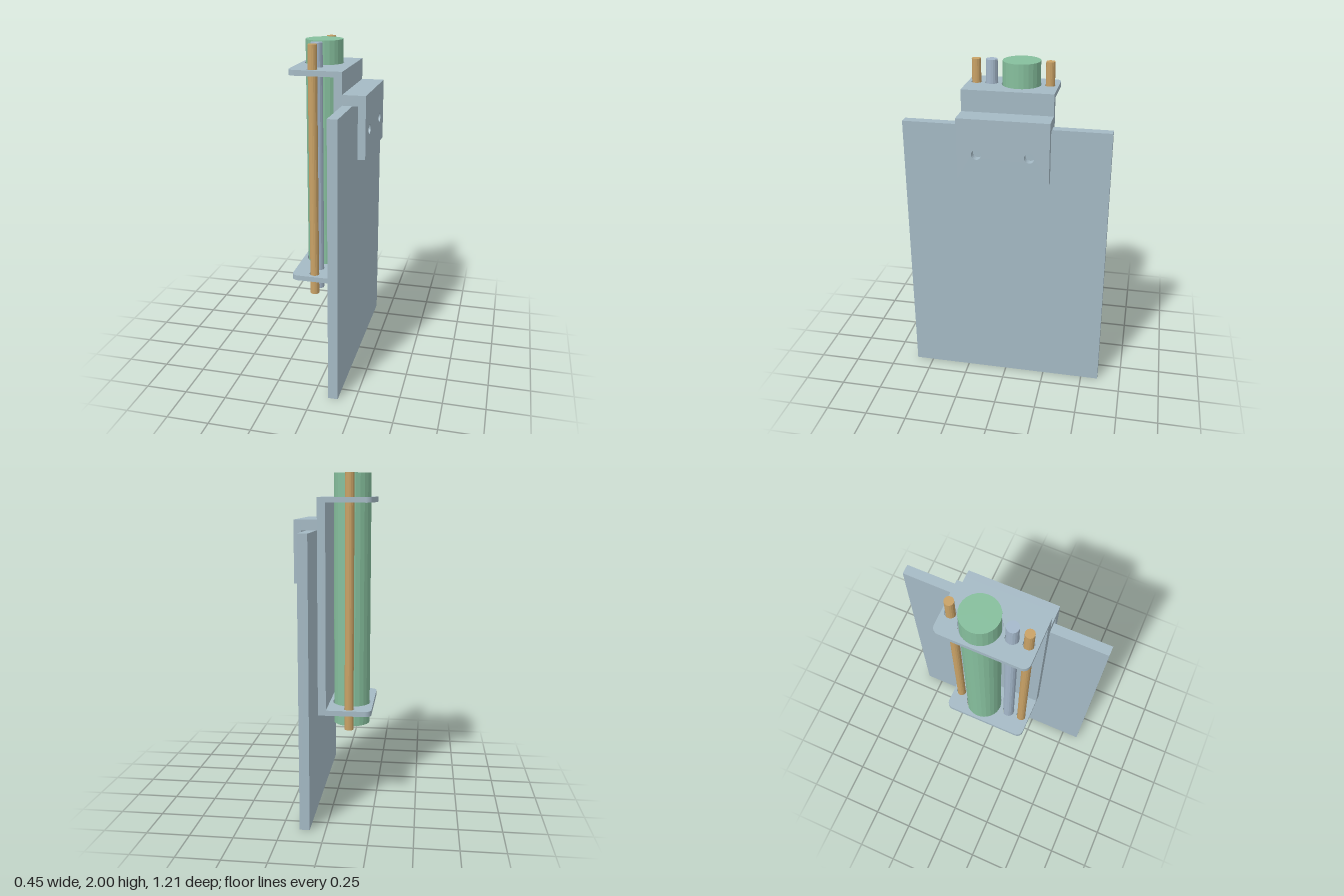
import * as THREE from 'three';

export function createModel() {
  const model = new THREE.Group();
  const mat = (name, color) => {
    const m = new THREE.MeshStandardMaterial({ color });
    m.name = name;
    return m;
  };
  const steel = mat('blue grey steel', 0xa5bac5);
  const paleRod = mat('pale blue rod', 0xa5b8cb);
  const green = mat('green', 0x86bf9d);
  const brass = mat('brass', 0xc9a266);

  const add = (parent, name, geometry, material) => {
    const mesh = new THREE.Mesh(geometry, material);
    mesh.name = name;
    parent.add(mesh);
    return mesh;
  };
  // Box given by its limits on each axis
  const box = (x0, x1, y0, y1, z0, z1) =>
    new THREE.BoxGeometry(x1 - x0, y1 - y0, z1 - z0)
      .translate((x0 + x1) / 2, (y0 + y1) / 2, (z0 + z1) / 2);
  const addHole = (shape, x, y, r) => {
    const hole = new THREE.Path();
    hole.absarc(x, y, r, 0, Math.PI * 2, true);
    shape.holes.push(hole);
  };

  // Backing board
  add(model, 'board', box(0.09, 0.148, 0, 1.675, -0.607, 0.607), steel);

  // Rods: position along z, radius, hole radius
  const rodX = -0.093, rodBottom = 0.48, rodTop = 2;
  const rods = [
    { name: 'mainCylinder', z: -0.052, r: 0.111, hole: 0.117, material: green, sides: 24 },
    { name: 'paleRod', z: 0.125, r: 0.035, hole: 0.039, material: paleRod, sides: 16 },
    { name: 'backBrassRod', z: -0.219, r: 0.027, hole: 0.032, material: brass, sides: 16 },
    { name: 'frontBrassRod', z: 0.216, r: 0.027, hole: 0.032, material: brass, sides: 16 },
  ];
  for (const { name, z, r, material, sides } of rods) {
    const g = new THREE.CylinderGeometry(r, r, rodTop - rodBottom, sides).toNonIndexed();
    g.computeVertexNormals(); // faceted sides
    g.translate(rodX, (rodTop + rodBottom) / 2, z);
    add(model, name, g, material);
  }

  // Hanging bracket
  const bracket = new THREE.Group();
  bracket.name = 'bracket';
  model.add(bracket);
  const half = 0.268;
  add(bracket, 'spine', box(0.042, 0.09, 0.575, 1.862, -half, half), steel);
  add(bracket, 'hookTop', box(0.09, 0.18, 1.675, 1.735, -half, half), steel);

  // Two shelves with rounded outer corners and clearance holes for the rods
  const x0 = -0.228, x1 = 0.042, c = 0.04;
  const shelf = new THREE.Shape();
  shelf.moveTo(x1, -half);
  shelf.lineTo(x1, half);
  shelf.lineTo(x0 + c, half);
  shelf.absarc(x0 + c, half - c, c, Math.PI / 2, Math.PI, false);
  shelf.lineTo(x0, -half + c);
  shelf.absarc(x0 + c, -half + c, c, Math.PI, Math.PI * 1.5, false);
  shelf.closePath();
  for (const rod of rods) addHole(shelf, rodX, rod.z, rod.hole);
  const shelfGeometry = new THREE.ExtrudeGeometry(shelf, { depth: 0.032, bevelEnabled: false, curveSegments: 16 })
    .rotateX(Math.PI / 2);
  add(bracket, 'topShelf', shelfGeometry, steel).position.y = 1.862;
  add(bracket, 'bottomShelf', shelfGeometry, steel).position.y = 0.607;

  // Hook lip with two screw holes
  const lip = new THREE.Shape();
  lip.moveTo(-half, 1.37);
  lip.lineTo(half, 1.37);
  lip.lineTo(half, 1.735);
  lip.lineTo(-half, 1.735);
  lip.closePath();
  for (const side of [-1, 1]) addHole(lip, side * 0.153, 1.525, 0.029);
  const lipGeometry = new THREE.ExtrudeGeometry(lip, { depth: 0.045, bevelEnabled: false, curveSegments: 12 })
    .rotateY(Math.PI / 2);
  add(bracket, 'hookLip', lipGeometry, steel).position.x = 0.18;

  return model;
}
